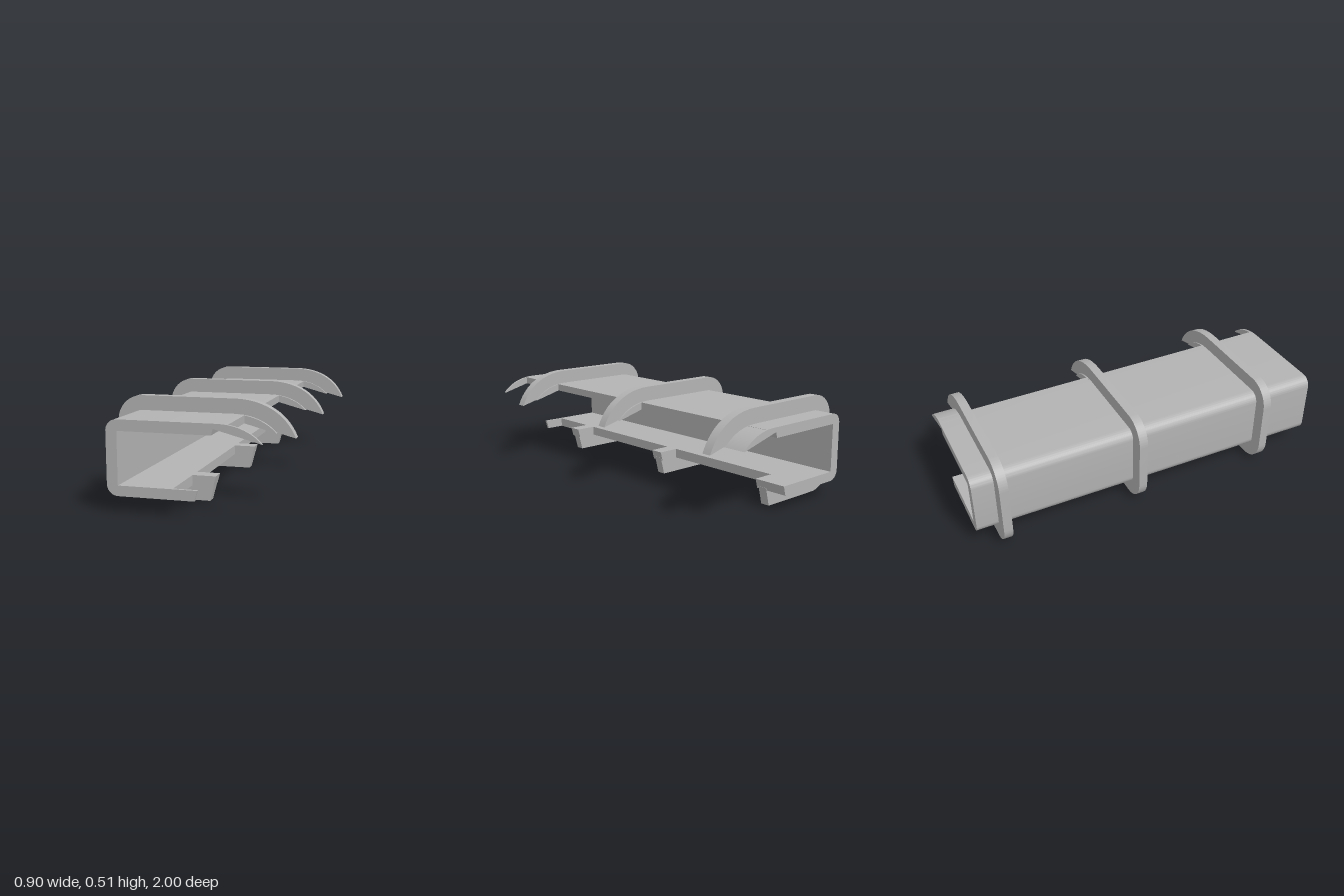
import * as THREE from 'three';
import { toCreasedNormals } from 'three/addons/utils/BufferGeometryUtils.js';

const grey = new THREE.MeshStandardMaterial({ color: 0xb3b3b3 });
grey.name = 'plain grey';

// Extrude a profile between two z positions; drafted parts shrink slightly toward the back
function slab(name, shape, zBack, zFront, draft = true) {
  const geo = new THREE.ExtrudeGeometry(shape, { depth: zFront - zBack, bevelEnabled: false, curveSegments: 16 });
  geo.translate(0, 0, zBack);
  if (draft) {
    const p = geo.attributes.position;
    for (let i = 0; i < p.count; i++) {
      const k = 1 - 0.015 * (1 - p.getZ(i));
      p.setXY(i, p.getX(i) * k, 0.259 + (p.getY(i) - 0.259) * k);
    }
  }
  const mesh = new THREE.Mesh(toCreasedNormals(geo, 0.6), grey);
  mesh.name = name;
  return mesh;
}

// Long C-shaped channel with rounded outer corners
function channelShape() {
  const s = new THREE.Shape();
  s.moveTo(-0.06, 0.078);
  s.lineTo(-0.06, 0.129);
  s.lineTo(-0.328, 0.129);
  s.lineTo(-0.328, 0.387);
  s.lineTo(0.127, 0.387);
  s.lineTo(0.136, 0.417);
  s.lineTo(0.204, 0.399);
  s.lineTo(0.204, 0.438);
  s.lineTo(0.15, 0.441);
  s.lineTo(-0.328, 0.441);
  s.absarc(-0.328, 0.386, 0.055, Math.PI / 2, Math.PI, false);
  s.lineTo(-0.383, 0.133);
  s.absarc(-0.328, 0.133, 0.055, Math.PI, Math.PI * 1.5, false);
  s.closePath();
  return s;
}

// Curved tongue that continues the roof
function upperTabShape() {
  const s = new THREE.Shape();
  s.moveTo(0.15, 0.4135);
  s.lineTo(0.362, 0.357);
  s.bezierCurveTo(0.315, 0.41, 0.24, 0.441, 0.15, 0.441);
  s.closePath();
  return s;
}

// Floor tongue with a slanted end
function lowerTabShape() {
  const s = new THREE.Shape();
  s.moveTo(-0.08, 0.078);
  s.lineTo(0.046, 0.078);
  s.lineTo(0.06, 0.129);
  s.lineTo(-0.08, 0.129);
  s.closePath();
  return s;
}

// Rib that wraps the channel and ends in a hooked tip
function ribShape() {
  const s = new THREE.Shape();
  s.moveTo(0.025, 0);
  s.lineTo(0.05, 0.095);
  s.lineTo(-0.355, 0.095);
  s.lineTo(-0.355, 0.42);
  s.lineTo(0.136, 0.417);
  s.lineTo(0.452, 0.334);
  s.bezierCurveTo(0.4, 0.46, 0.28, 0.514, 0.15, 0.514);
  s.lineTo(-0.323, 0.514);
  s.absarc(-0.323, 0.384, 0.13, Math.PI / 2, Math.PI, false);
  s.lineTo(-0.453, 0.13);
  s.absarc(-0.323, 0.13, 0.13, Math.PI, Math.PI * 1.5, false);
  s.closePath();
  return s;
}

export function createModel() {
  const model = new THREE.Group();
  model.name = 'ribbedChannelClip';
  model.add(slab('channel', channelShape(), -1, 1));

  // Tabs sit at the front edge, around each rib and along the back end
  for (const [back, front] of [[0.985, 1], [0.638, 0.71], [-0.13, -0.058], [-1, -0.823]]) {
    model.add(slab('upperTab', upperTabShape(), back, front));
    model.add(slab('lowerTab', lowerTabShape(), back, front));
  }

  for (const z of [0.67, -0.097, -0.86]) {
    model.add(slab('rib', ribShape(), z - 0.024, z + 0.024, false));
  }
  return model;
}
